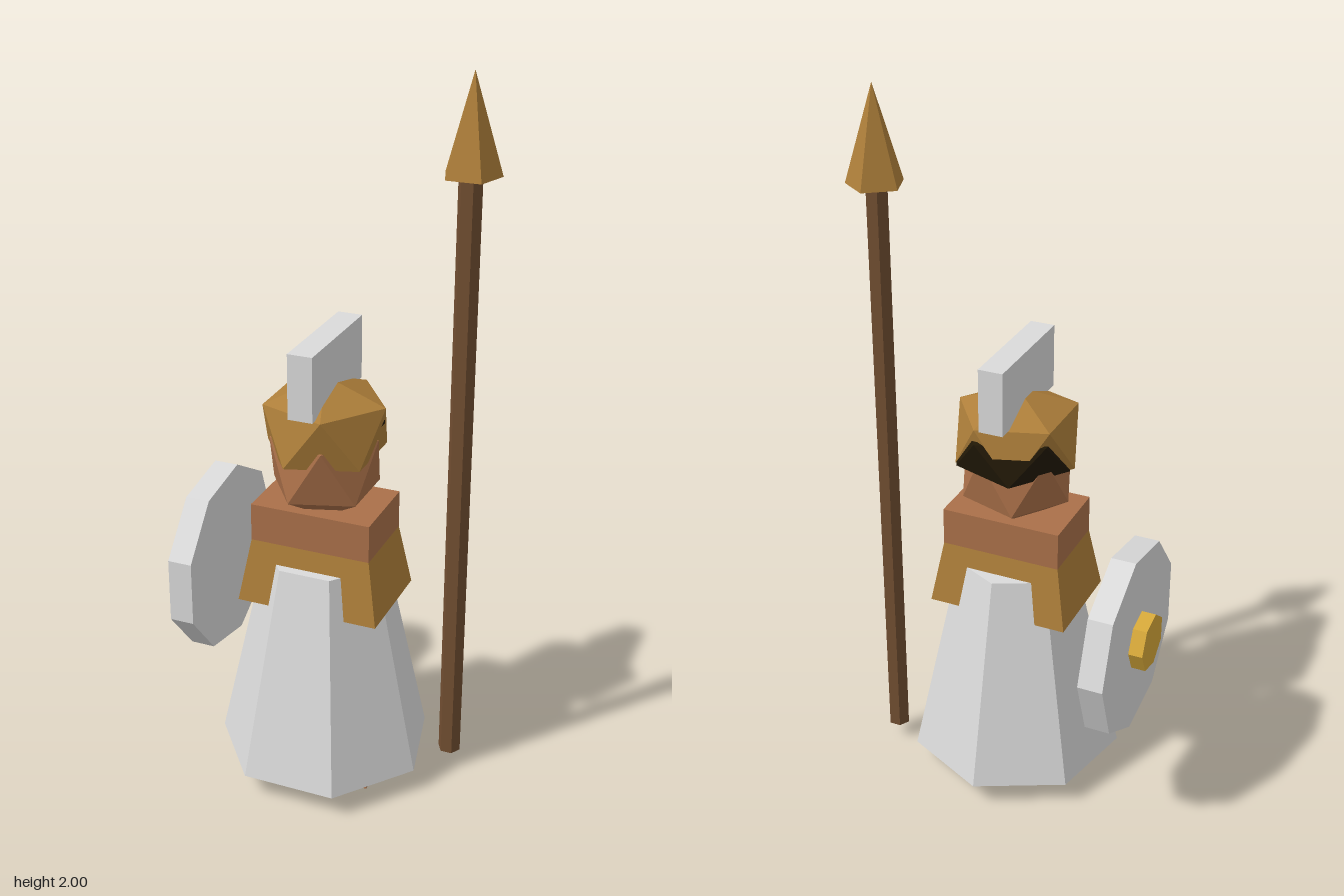
import * as THREE from 'three';

const material = (name, color) => {
  const m = new THREE.MeshStandardMaterial({ color, flatShading: true });
  m.name = name;
  return m;
};

// Faceted ball: two staggered rings of five points, closed by a top and a bottom point
function facetedBall(r, bottom, low, high, top) {
  const pos = [];
  const ring = (k, y, offset) => {
    const a = (k + offset) * Math.PI * 0.4;
    return [r * Math.cos(a), y, r * Math.sin(a)];
  };
  const U = k => ring(k, high, 0), L = k => ring(k, low, 0.5);
  for (let k = 0; k < 5; k++) {
    pos.push(
      ...[0, top, 0], ...U(k + 1), ...U(k),
      ...U(k), ...U(k + 1), ...L(k),
      ...U(k + 1), ...L(k + 1), ...L(k),
      ...L(k), ...L(k + 1), ...[0, bottom, 0]);
  }
  const g = new THREE.BufferGeometry();
  g.setAttribute('position', new THREE.Float32BufferAttribute(pos, 3));
  g.computeVertexNormals();
  return g;
}

export function createModel() {
  const model = new THREE.Group();
  model.name = 'spearGuard';
  const white = material('white', 0xdadada);
  const bronze = material('bronze', 0xae7f3a);
  const skin = material('skin', 0xaa7049);
  const hairDark = material('darkHair', 0x211806);
  const wood = material('wood', 0x714e31);
  const gold = material('gold', 0xd6a83a);
  const cx = 0.008, cz = 0.04;

  const add = (name, geometry, mat, x, y, z) => {
    const mesh = new THREE.Mesh(geometry, mat);
    mesh.name = name;
    mesh.position.set(x, y, z);
    model.add(mesh);
    return mesh;
  };
  // Prism or frustum whose first corner lies at angle `start`
  const prism = (rTop, rBottom, h, sides, start = Math.PI) =>
    new THREE.CylinderGeometry(rTop, rBottom, h, sides, 1, false, start);

  // Feet and long tunic
  for (const [name, side] of [['leftFoot', 1], ['rightFoot', -1]]) {
    add(name, new THREE.BoxGeometry(0.142, 0.09, 0.226), skin, cx + side * 0.101, 0.045, 0.042);
  }
  add('tunic', prism(0.168, 0.3035, 0.607, 7), white, cx, 0.3685, 0.0385);

  // Flared bronze cuirass with bare shoulders above
  const cuirass = new THREE.BoxGeometry(0.342, 0.18, 0.228);
  const p = cuirass.attributes.position;
  for (let i = 0; i < p.count; i++) {
    if (p.getY(i) < 0) {
      p.setX(i, Math.sign(p.getX(i)) * 0.202);
      p.setZ(i, Math.sign(p.getZ(i)) * 0.141);
    }
  }
  cuirass.computeVertexNormals();
  add('cuirass', cuirass, bronze, cx, 0.64, cz);
  add('shoulders', new THREE.BoxGeometry(0.342, 0.107, 0.228), skin, cx, 0.7835, cz);

  // Head, hair showing at the back, helmet and crest
  add('head', facetedBall(0.152, 0.785, 0.877, 1.035, 1.12), skin, cx, 0, cz + 0.002);
  add('hair', facetedBall(0.162, 0.975, 0.982, 1.09, 1.14), hairDark, cx, 0, cz - 0.014);
  add('helmet', facetedBall(0.17, 0.99, 0.985, 1.13, 1.195), bronze, cx, 0, cz);
  add('crest', new THREE.BoxGeometry(0.069, 0.18, 0.338), white, cx, 1.222, cz);

  // Spear
  add('spearShaft', prism(0.032, 0.032, 1.69, 6, Math.PI / 6), wood, 0.353, 0.895, -0.06);
  add('spearHead', prism(0, 0.079, 0.26, 5), bronze, 0.353, 1.87, -0.063);

  // Round shield and its boss on the right side
  add('shield', prism(0.272, 0.272, 0.07, 9), white, -0.357, 0.55, -0.043).rotation.z = Math.PI / 2;
  add('shieldBoss', prism(0.081, 0.081, 0.041, 7), gold, -0.4115, 0.55, -0.043).rotation.z = Math.PI / 2;

  return model;
}
